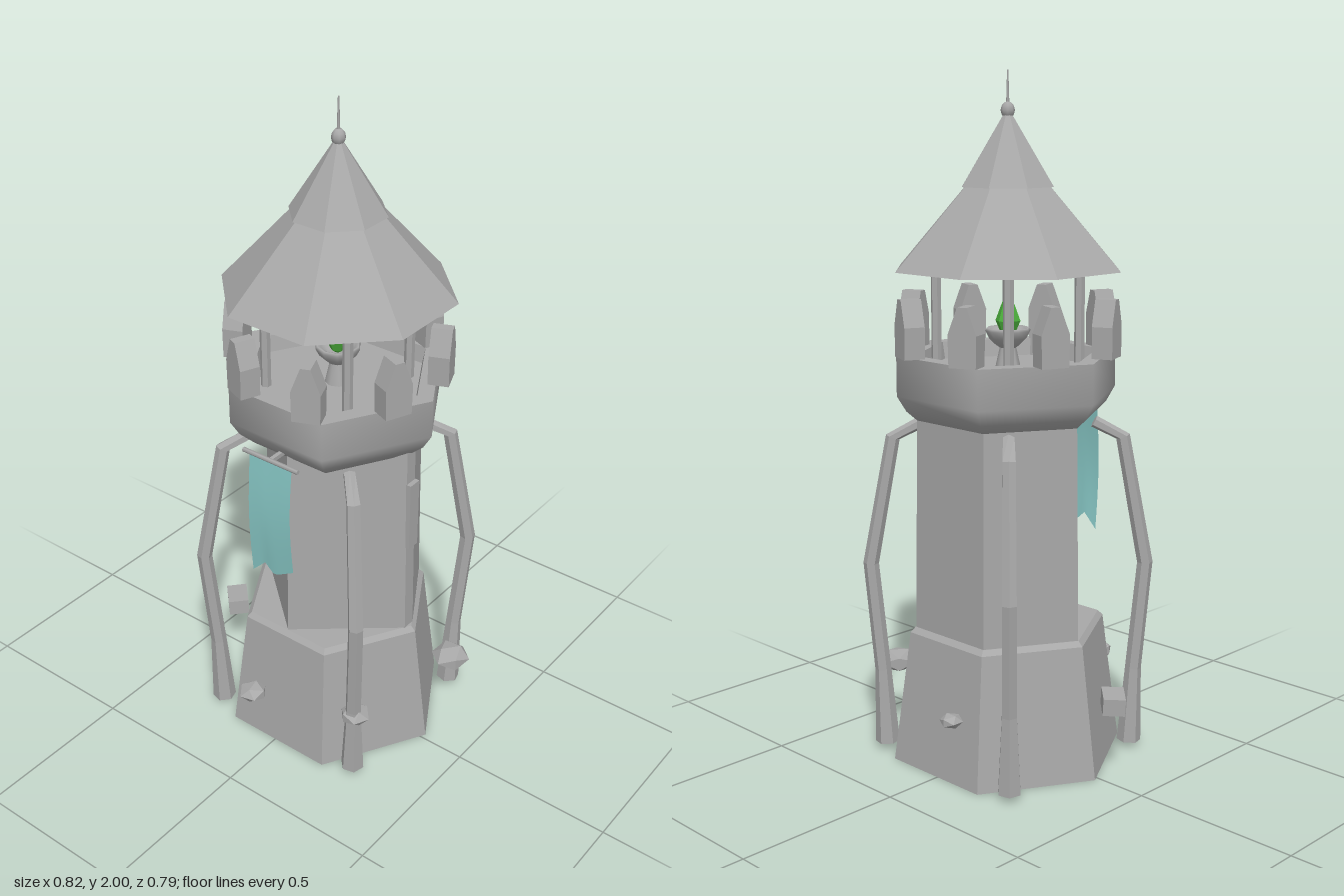
import * as THREE from 'three';

const mat = (name, color) => {
  const m = new THREE.MeshStandardMaterial({ color });
  m.name = name;
  return m;
};

// Flat faces without touching the material
function flat(geo) {
  const g = geo.index ? geo.toNonIndexed() : geo;
  g.computeVertexNormals();
  return g;
}

// Skin a stack of convex rings (bottom to top) and cap both ends
function loft(rings) {
  const pos = [];
  const tri = (a, b, c) => pos.push(...a, ...b, ...c);
  const n = rings[0].length;
  for (let r = 0; r < rings.length - 1; r++) {
    for (let i = 0; i < n; i++) {
      const j = (i + 1) % n, lo = rings[r], hi = rings[r + 1];
      tri(lo[i], lo[j], hi[j]);
      tri(lo[i], hi[j], hi[i]);
    }
  }
  const first = rings[0], last = rings[rings.length - 1];
  for (let i = 1; i < n - 1; i++) {
    tri(first[0], first[i + 1], first[i]);
    tri(last[0], last[i], last[i + 1]);
  }
  const g = new THREE.BufferGeometry();
  g.setAttribute('position', new THREE.Float32BufferAttribute(pos, 3));
  g.computeVertexNormals();
  return g;
}

// Tube from [radius from axis, height, thickness] points, lying in the +z plane
function strutGeometry(path, sides = 6) {
  return loft(path.map(([r, y, t], i) => {
    const a = path[Math.max(i - 1, 0)], b = path[Math.min(i + 1, path.length - 1)];
    const d = new THREE.Vector2(b[0] - a[0], b[1] - a[1]).normalize();
    return Array.from({ length: sides }, (_, k) => {
      const s = (k / sides) * Math.PI * 2;
      return [Math.sin(s) * t, y - d.x * Math.cos(s) * t, r + d.y * Math.cos(s) * t];
    });
  }));
}

export function createModel() {
  const stone = mat('stone', 0xa8a8a8);
  const stoneOpen = mat('openStone', 0xa8a8a8);
  stoneOpen.side = THREE.DoubleSide;
  const cloth = mat('tealCloth', 0x88c8c6);
  cloth.side = THREE.DoubleSide;
  const green = mat('greenCrystal', 0x4caf3c);

  const model = new THREE.Group();
  const tower = new THREE.Group();
  tower.name = 'tower';
  tower.position.set(0.01, 0, -0.016);
  model.add(tower);

  const add = (name, geo, material, x = 0, y = 0, z = 0, parent = tower) => {
    const m = new THREE.Mesh(geo, material);
    m.name = name;
    m.position.set(x, y, z);
    parent.add(m);
    return m;
  };
  const cyl = (rt, rb, h, n, open = false, start = 0) =>
    new THREE.CylinderGeometry(rt, rb, h, n, 1, open, start);
  const HEX = Math.PI / 6, OCT = Math.PI / 8;

  // Hexagonal foot with a bevelled top
  add('foot', flat(cyl(0.297, 0.35, 0.39, 6, false, HEX)), stone, 0, 0.195, 0);
  add('footBevel', flat(cyl(0.282, 0.297, 0.015, 6, false, HEX)), stone, 0, 0.3975, 0);

  // Shaft with a front ridge and a narrow face on its left
  const plan = [[0, 0.24], [0.27, 0.02], [0.27, -0.02], [0.139, -0.24], [-0.139, -0.24], [-0.278, 0]];
  const ring = (s, y) => plan.map(([x, z]) => [x * s, y, z * s]);
  add('shaft', loft([ring(1.01, 0.39), ring(0.97, 1.03)]), stone);
  add('windowSlit', new THREE.BoxGeometry(0.02, 0.22, 0.042), stone, 0.268, 0.81, 0);

  // Flared gallery: smooth outside, sharp rim, sunken floor
  const lathe = (pts) => new THREE.LatheGeometry(pts.map(p => new THREE.Vector2(...p)), 6, HEX);
  add('galleryWall', lathe([[0, 1.01], [0.255, 1.01], [0.3, 1.05], [0.327, 1.095], [0.327, 1.21]]), stone);
  add('galleryRim', lathe([[0.327, 1.21], [0.275, 1.21]]), stone);
  add('galleryInside', flat(lathe([[0.275, 1.21], [0.265, 1.16]])), stone);
  add('galleryFloor', lathe([[0.265, 1.16], [0, 1.16]]), stone);

  // Eight pointed battlements
  const outline = new THREE.Shape([
    [-0.04, 0], [0.04, 0], [0.042, 0.09], [0.014, 0.165], [-0.014, 0.165], [-0.042, 0.09],
  ].map(p => new THREE.Vector2(...p)));
  const merlonGeo = new THREE.ExtrudeGeometry(outline, { depth: 0.06, bevelEnabled: false });
  merlonGeo.translate(0, 0, -0.03);
  for (let i = 0; i < 8; i++) {
    const a = OCT + i * Math.PI / 4;
    add('battlement', merlonGeo, stone, Math.sin(a) * 0.298, 1.21, Math.cos(a) * 0.298).rotation.y = a;
  }

  // Roof posts and curved buttresses on the diagonals
  const buttressGeo = strutGeometry([
    [0.365, 0.02, 0.036], [0.375, 0.25, 0.024], [0.405, 0.58, 0.023], [0.335, 0.96, 0.021], [0.25, 1.005, 0.018],
  ]);
  const postGeo = flat(cyl(0.015, 0.015, 0.4, 6));
  for (let i = 0; i < 4; i++) {
    const a = Math.PI / 4 + i * Math.PI / 2;
    add('roofPost', postGeo, stone, Math.sin(a) * 0.205, 1.355, Math.cos(a) * 0.205);
    add('buttress', buttressGeo, stone).rotation.y = a;
  }

  // Two-tier octagonal roof with finial
  add('lowerRoof', flat(cyl(0.125, 0.338, 0.235, 8, true, OCT)), stoneOpen, 0, 1.5675, 0);
  add('upperRoof', flat(cyl(0.012, 0.139, 0.2, 8, false, OCT)), stone, 0, 1.78, 0);
  add('finialBall', new THREE.SphereGeometry(0.02, 8, 6), stone, 0, 1.89, 0).scale.y = 1.2;
  add('finialSpike', cyl(0.002, 0.005, 0.1, 6), stone, 0, 1.95, 0);

  // Brazier bowl holding a crystal
  add('bowlStand', cyl(0.022, 0.04, 0.08, 8), stone, 0, 1.19, 0);
  add('bowl', new THREE.LatheGeometry([
    [0.012, 1.215], [0.035, 1.23], [0.055, 1.25], [0.066, 1.272], [0.062, 1.28], [0.05, 1.275], [0.03, 1.255], [0, 1.25],
  ].map(p => new THREE.Vector2(...p)), 10), stone);
  add('crystal', flat(new THREE.LatheGeometry([
    [0, 1.25], [0.022, 1.265], [0.037, 1.3], [0.022, 1.34], [0, 1.39],
  ].map(p => new THREE.Vector2(...p)), 6)), green);

  // Banner with a ragged hem, bowed slightly outward
  const bannerGeo = new THREE.PlaneGeometry(0.15, 1, 10, 8);
  const hem = [[-0.075, 0.635], [-0.03, 0.68], [0.005, 0.65], [0.075, 0.69]];
  const hemAt = (x) => {
    const i = x < hem[1][0] ? 0 : x < hem[2][0] ? 1 : 2;
    const [a, b] = [hem[i], hem[i + 1]];
    return a[1] + (b[1] - a[1]) * (x - a[0]) / (b[0] - a[0]);
  };
  const p = bannerGeo.attributes.position;
  for (let i = 0; i < p.count; i++) {
    const t = 0.5 - p.getY(i);
    p.setXYZ(i, p.getX(i), 1.04 + (hemAt(p.getX(i)) - 1.04) * t, 0.304 + 0.012 * Math.sin(t * Math.PI));
  }
  bannerGeo.computeVertexNormals();
  add('banner', bannerGeo, cloth);
  add('bannerRod', cyl(0.007, 0.007, 0.195, 6), stone, 0, 1.043, 0.304).rotation.z = Math.PI / 2;
  add('rodBracket', new THREE.BoxGeometry(0.012, 0.012, 0.09), stone, 0, 1.043, 0.26);

  // Loose stones floating around the foot
  const rockGeo = flat(new THREE.IcosahedronGeometry(1, 0));
  [[-0.11, 0.22, -0.365, 0.034], [0.35, 0.225, -0.155, 0.06], [-0.03, 0.225, 0.35, 0.044], [0.275, 0.225, 0.24, 0.047]]
    .forEach(([x, y, z, r], i) => {
      const rock = add('floatingRock', rockGeo, stone, x, y, z, model);
      rock.scale.set(r, r * 0.62, r);
      rock.rotation.y = i * 0.9;
    });
  const block = add('floatingBlock', new THREE.BoxGeometry(0.092, 0.05, 0.064), stone, -0.355, 0.228, 0.042, model);
  block.rotation.set(0.06, -Math.PI / 4, 0.08);

  return model;
}
